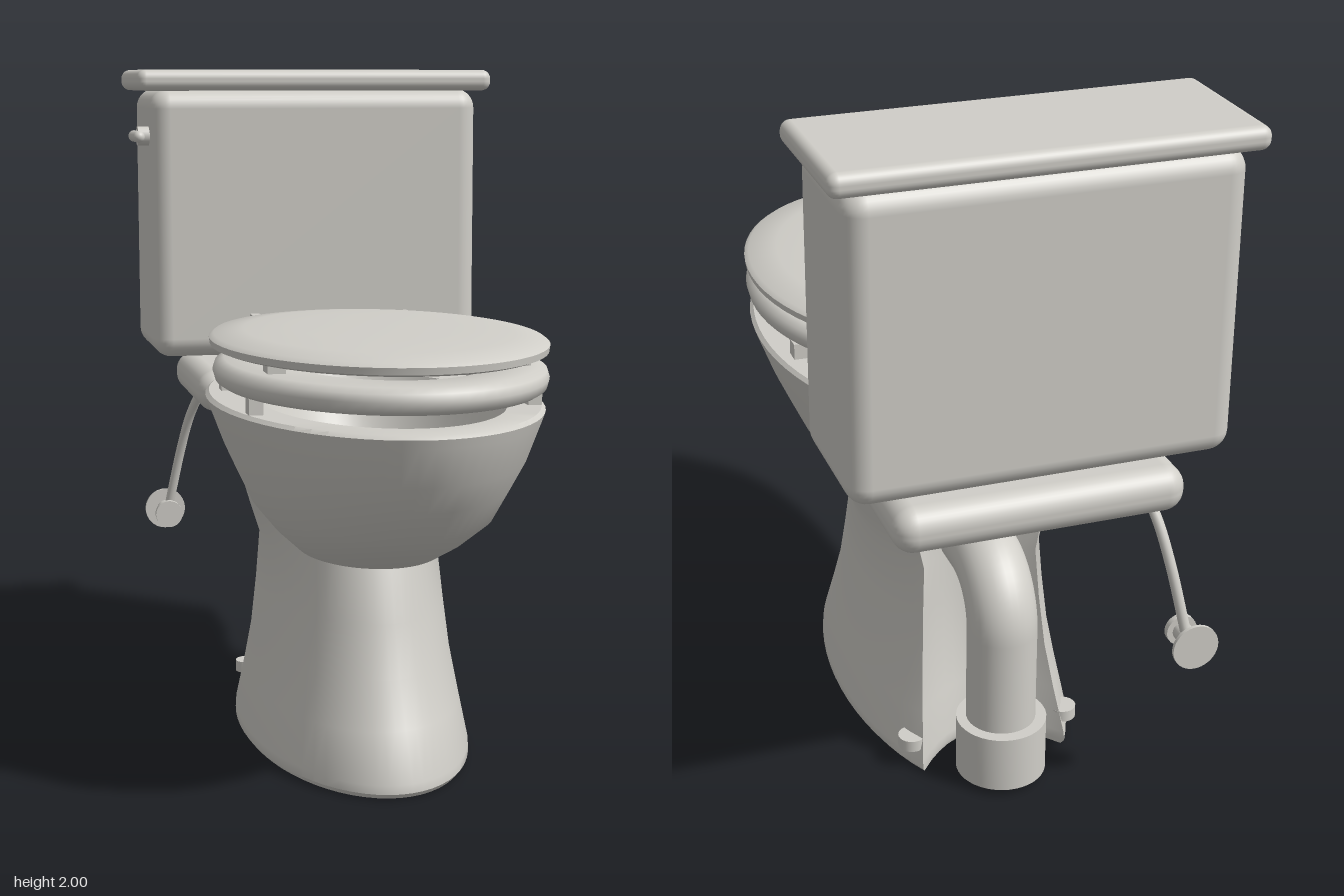
import * as THREE from 'three';
import { toCreasedNormals } from 'three/addons/utils/BufferGeometryUtils.js';
import { RoundedBoxGeometry } from 'three/addons/geometries/RoundedBoxGeometry.js';

const ceramic = new THREE.MeshStandardMaterial({ color: 0xd0cec8 });
ceramic.name = 'ceramic';

// Skin closed rings of points, outward when the rings climb
function loft(rings, crease = 0.7) {
  const n = rings[0].length, pos = [], idx = [];
  rings.forEach(r => r.forEach(p => pos.push(...p)));
  for (let i = 0; i < rings.length - 1; i++) {
    for (let j = 0; j < n; j++) {
      const k = (j + 1) % n;
      const a = i * n + j, b = i * n + k, c = (i + 1) * n + k, d = (i + 1) * n + j;
      idx.push(a, b, c, a, c, d);
    }
  }
  const g = new THREE.BufferGeometry();
  g.setAttribute('position', new THREE.Float32BufferAttribute(pos, 3));
  g.setIndex(idx);
  return toCreasedNormals(g, crease);
}

// Oval ring: height, front z, back z, half width
function oval([y, zf, zb, hx], n = 64) {
  return Array.from({ length: n }, (_, j) => {
    const a = j / n * Math.PI * 2;
    return [hx * Math.sin(a), y, (zf + zb) / 2 + (zf - zb) / 2 * Math.cos(a)];
  });
}

// Oval cut off at the rear, with a hollowed back wall
function footRing([y, zf, zb, hx]) {
  const A = 2.42, L = (zf - zb) / (1 - Math.cos(A)), zc = zf - L, pts = [];
  for (let j = 0; j <= 48; j++) {
    const a = -A + 2 * A * j / 48;
    pts.push([hx * Math.sin(a), y, zc + L * Math.cos(a)]);
  }
  for (let j = 1; j < 12; j++) {
    const u = 1 - 2 * j / 12;
    pts.push([hx * Math.sin(A) * u, y, zb + 0.12 * (zf - zb) * (1 - u * u)]);
  }
  return pts;
}

export function createModel() {
  const root = new THREE.Group();
  root.name = 'toilet';
  const body = new THREE.Group();
  body.name = 'body';
  body.position.x = 0.007;
  root.add(body);

  const add = (name, geo, x = 0, y = 0, z = 0) => {
    const m = new THREE.Mesh(geo, ceramic);
    m.name = name;
    m.position.set(x, y, z);
    body.add(m);
    return m;
  };
  const box = (name, w, y0, y1, z0, z1, r, x = 0) =>
    add(name, new RoundedBoxGeometry(w, y1 - y0, z1 - z0, 4, r), x, (y0 + y1) / 2, (z0 + z1) / 2);
  // Cylinder along one axis
  const rod = (name, axis, r, len, x, y, z, sides = 24) => {
    const g = new THREE.CylinderGeometry(r, r, len, sides);
    if (axis === 'x') g.rotateZ(Math.PI / 2);
    if (axis === 'z') g.rotateX(Math.PI / 2);
    return add(name, g, x, y, z);
  };

  // Cistern and its shelf
  box('tank', 1.05, 1.10, 1.94, -0.925, -0.50, 0.06);
  box('tankLid', 1.135, 1.935, 2.0, -0.945, -0.485, 0.028);
  box('tankShelf', 0.81, 0.94, 1.07, -0.93, -0.37, 0.06);
  add('tankGasket', new THREE.BoxGeometry(0.5, 0.06, 0.23), 0, 1.085, -0.685);

  // Flush handle
  rod('handleMount', 'x', 0.03, 0.05, -0.535, 1.795, -0.58);
  const lever = add('handleLever', new THREE.CapsuleGeometry(0.018, 0.125, 6, 16), -0.568, 1.795, -0.53);
  lever.rotation.x = Math.PI / 2;

  // Bowl: outside, over the rim, down the basin
  add('bowl', loft([
    [0.605, 0.18, 0.18, 0], [0.605, 0.36, 0, 0.12], [0.63, 0.48, -0.10, 0.205],
    [0.69, 0.62, -0.24, 0.27], [0.77, 0.77, -0.36, 0.335], [0.86, 0.84, -0.415, 0.378],
    [0.94, 0.90, -0.46, 0.415], [1.05, 0.94, -0.495, 0.457], [1.075, 0.948, -0.5, 0.466],
    [1.085, 0.935, -0.49, 0.455], [1.085, 0.83, -0.18, 0.34], [1.06, 0.82, -0.17, 0.33],
    [0.92, 0.74, -0.10, 0.27], [0.78, 0.55, 0, 0.16], [0.72, 0.40, 0.08, 0.09], [0.72, 0.22, 0.22, 0],
  ].map(r => oval(r))));

  // Pedestal: hollow inside, round the foot, up the outside
  add('pedestal', loft([
    [0.56, -0.02, -0.02, 0], [0.56, 0.30, -0.36, 0.20], [0.30, 0.40, -0.41, 0.235],
    [0.04, 0.53, -0.51, 0.28], [0.01, 0.54, -0.525, 0.29], [0, 0.56, -0.545, 0.31], [0, 0.58, -0.56, 0.322],
    [0.015, 0.594, -0.57, 0.333], [0.04, 0.592, -0.567, 0.332], [0.17, 0.522, -0.515, 0.308],
    [0.30, 0.455, -0.472, 0.286], [0.45, 0.405, -0.445, 0.27], [0.60, 0.36, -0.43, 0.257],
    [0.69, 0.32, -0.425, 0.285], [0.76, 0.30, -0.43, 0.305], [0.76, -0.1, -0.1, 0],
  ].map(footRing)));

  // Seat ring
  add('seat', loft([
    [1.13, 0.90, -0.27, 0.44], [1.14, 0.918, -0.29, 0.455], [1.165, 0.925, -0.30, 0.462],
    [1.187, 0.918, -0.29, 0.455], [1.20, 0.89, -0.26, 0.43], [1.20, 0.76, -0.10, 0.30],
    [1.185, 0.73, -0.08, 0.28], [1.13, 0.73, -0.08, 0.28], [1.13, 0.90, -0.27, 0.44],
  ].map(r => oval(r)), 0.9));

  // Seat lid with a gentle dome
  add('seatLid', loft([
    [1.23, 0.29, 0.29, 0], [1.23, 0.90, -0.315, 0.45], [1.236, 0.917, -0.332, 0.465],
    [1.255, 0.92, -0.335, 0.468], [1.265, 0.905, -0.32, 0.455], [1.277, 0.80, -0.21, 0.37],
    [1.284, 0.6, -0.02, 0.24], [1.286, 0.29, 0.29, 0],
  ].map(r => oval(r))));

  // Bumpers, hinges and floor bolts on both sides
  for (const s of [-1, 1]) {
    for (const z of [0.51, 0.065]) {
      add('seatBumper', new THREE.BoxGeometry(0.04, 0.05, 0.05), s * 0.39, 1.108, z);
    }
    add('lidBumper', new THREE.BoxGeometry(0.05, 0.04, 0.07), s * 0.34, 1.215, 0.535);
    box('hingeBase', 0.08, 1.08, 1.117, -0.36, -0.28, 0.01, s * 0.185);
    add('hingePost', new THREE.BoxGeometry(0.04, 0.06, 0.04), s * 0.185, 1.135, -0.33);
    rod('hingeKnuckle', 'x', 0.027, 0.05, s * 0.185, 1.155, -0.33);
    rod('hingePin', 'x', 0.016, 0.14, s * 0.19, 1.155, -0.33);
    const lidArm = add('lidHingeArm', new THREE.BoxGeometry(0.022, 0.024, 0.12), s * 0.235, 1.195, -0.3);
    lidArm.rotation.x = -0.95;
    add('lidHingeStrap', new THREE.BoxGeometry(0.03, 0.03, 0.13), s * 0.235, 1.24, -0.275);
    add('seatHingeArm', new THREE.BoxGeometry(0.022, 0.024, 0.14), s * 0.145, 1.155, -0.27);
    rod('floorBolt', 'y', 0.04, 0.035, s * 0.235, 0.083, -0.51);
  }

  // Waste pipe with a quarter bend and open collar
  const path = new THREE.CurvePath();
  const v = (y, z) => new THREE.Vector3(0, y, z);
  path.add(new THREE.LineCurve3(v(0.645, -0.30), v(0.645, -0.45)));
  path.add(new THREE.CubicBezierCurve3(v(0.645, -0.45), v(0.645, -0.541), v(0.571, -0.615), v(0.48, -0.615)));
  path.add(new THREE.LineCurve3(v(0.48, -0.615), v(0.06, -0.615)));
  add('wastePipe', new THREE.TubeGeometry(path, 48, 0.1, 32));
  const collar = [[0.085, 0.10], [0.1, 0.02], [0.13, 0.02], [0.13, 0.19], [0.09, 0.19]]
    .map(p => new THREE.Vector2(...p));
  add('pipeCollar', toCreasedNormals(new THREE.LatheGeometry(collar, 40), 0.6), 0, 0, -0.62);
  const plug = new THREE.CircleGeometry(0.1, 32).rotateX(Math.PI / 2);
  add('pipeInside', plug, 0, 0.09, -0.62);

  // Water supply hose and wall valve
  const hose = new THREE.CatmullRomCurve3([
    [-0.345, 0.96, -0.735], [-0.375, 0.86, -0.80], [-0.40, 0.74, -0.845], [-0.437, 0.54, -0.888],
  ].map(p => new THREE.Vector3(...p)));
  add('supplyHose', new THREE.TubeGeometry(hose, 32, 0.015, 16));
  rod('valveBody', 'z', 0.028, 0.095, -0.442, 0.525, -0.895);
  rod('valveKnob', 'z', 0.045, 0.018, -0.442, 0.525, -0.845);
  rod('wallFlange', 'z', 0.067, 0.01, -0.442, 0.525, -0.94, 40);

  return root;
}
